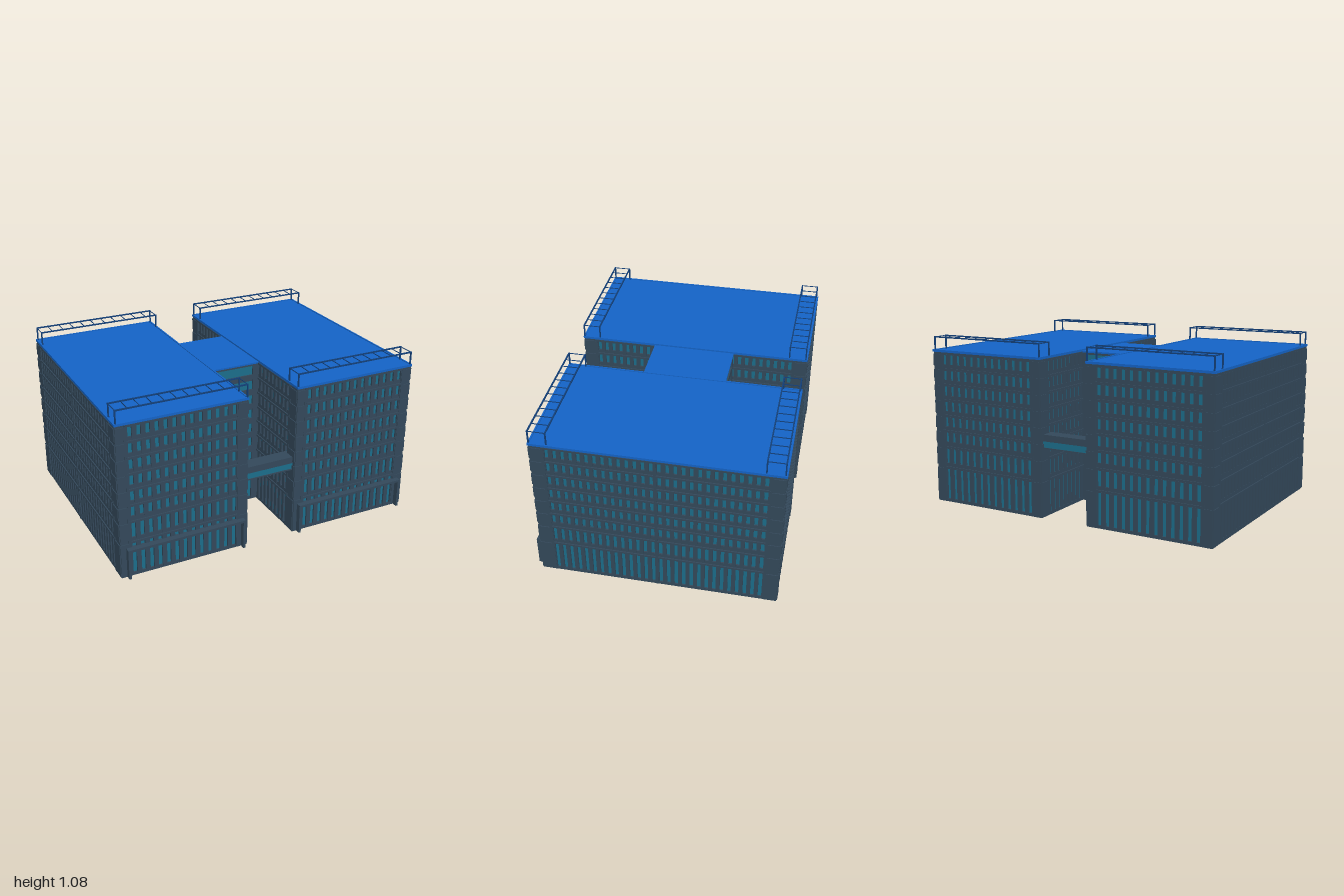
import * as THREE from 'three';
import { mergeGeometries } from 'three/addons/utils/BufferGeometryUtils.js';

const paint = (color) => new THREE.MeshStandardMaterial({ color });
const slate = paint(0x33485a);
const glass = paint(0x1b6d8a);
const blue = paint(0x1463c6);
const navy = paint(0x123f78);

// Window rows, bottom and top of each floor's glazing
const ROWS = [[0.02, 0.22], [0.26, 0.355]];
for (let i = 0; i < 6; i++) ROWS.push([0.402 + i * 0.101, 0.462 + i * 0.101]);
const TOP = 0.985;
const Z_MID = -0.015;

// Box given by its lower and upper bounds on each axis
function block(x0, x1, y0, y1, z0, z1) {
  return new THREE.BoxGeometry(x1 - x0, y1 - y0, z1 - z0)
    .translate((x0 + x1) / 2, (y0 + y1) / 2, (z0 + z1) / 2);
}

function part(name, material, ...boxes) {
  const mesh = new THREE.Mesh(mergeGeometries(boxes), material);
  mesh.name = name;
  return mesh;
}

// Solid wall strips between the window rows, on a plane facing +z
function spandrels(half) {
  const list = [];
  let y = 0;
  for (const [low, high] of [...ROWS, [TOP, TOP]]) {
    list.push(block(-half, half, y, low, -0.012, 0));
    y = high;
  }
  return list;
}

// Facade facing +z: corner piers, bays of mullions, spandrels and ledges
function facade(name, width, margin, bays, perBay) {
  const half = width / 2, inner = half - margin;
  const group = new THREE.Group();
  group.name = name;
  const walls = spandrels(half), mullions = [], ledges = [];
  for (const s of [-1, 1]) {
    const a = s * half, b = s * inner;
    walls.push(block(Math.min(a, b), Math.max(a, b), 0, TOP, -0.012, 0.001));
  }
  const bayWidth = 2 * inner / bays, pitch = bayWidth / perBay;
  for (let b = 0; b <= bays; b++) {
    const x = -inner + b * bayWidth;
    mullions.push(block(x - 0.008, x + 0.008, 0.005, TOP, -0.012, 0.006));
  }
  for (const [low, high] of ROWS) {
    for (let i = 0; i <= bays * perBay; i++) {
      const x = -inner + i * pitch;
      mullions.push(block(x - pitch * 0.26, x + pitch * 0.26, low - 0.012, high + 0.004, -0.012, 0.003));
    }
    ledges.push(block(-inner, inner, high + 0.006, high + 0.018, -0.005, 0.007));
    // Short proud blocks on the corner piers at each floor
    for (const s of [-1, 1]) {
      const x = s * (half - margin / 2);
      ledges.push(block(x - margin / 2, x + margin / 2, low - 0.012, high + 0.004, -0.005, 0.006));
    }
  }
  group.add(part('wall', slate, ...walls), part('mullions', slate, ...mullions), part('ledges', slate, ...ledges));
  return group;
}

// Railing frame around a strip at one end of the roof
function roofRail(z0, z1) {
  const t = 0.004, x0 = 0.17, x1 = 0.98, y = 1.08;
  const bars = [];
  for (const z of [z0, z1]) {
    bars.push(block(x0 - t, x1 + t, y - t, y + t, z - t, z + t));
    for (const x of [x0, x1]) bars.push(block(x - t, x + t, 0.99, y, z - t, z + t));
  }
  for (let i = 0; i <= 11; i++) {
    const x = x0 + (x1 - x0) * i / 11;
    bars.push(block(x - t / 2, x + t / 2, y - t / 2, y + t / 2, z0, z1));
  }
  return part('roofRail', navy, ...bars);
}

// One tower on the +x side
function tower() {
  const group = new THREE.Group();
  const x0 = 0.165, x1 = 0.988, z0 = -0.75, z1 = 0.72;
  group.add(part('glazing', glass, block(x0 + 0.009, x1 - 0.009, 0.006, TOP - 0.005, z0 + 0.009, z1 - 0.009)));
  group.add(part('base', slate, block(x0, x1, 0, 0.01, z0, z1)));

  // Broad sides have two bays, ends have one
  const place = (f, x, z, turn) => {
    f.position.set(x, 0, z);
    f.rotation.y = turn;
    group.add(f);
  };
  const depth = z1 - z0, width = x1 - x0, xm = (x0 + x1) / 2;
  place(facade('outerFacade', depth, 0.08, 2, 14), x1, Z_MID, Math.PI / 2);
  place(facade('courtFacade', depth, 0.08, 2, 14), x0, Z_MID, -Math.PI / 2);
  place(facade('frontFacade', width, 0.06, 1, 13), xm, z1, 0);
  place(facade('backFacade', width, 0.06, 1, 13), xm, z0, Math.PI);

  // Roof with a low rim
  const r = [0.162, 0.992, -0.757, 0.727];
  group.add(part('roof', blue, block(r[0], r[1], TOP, 0.995, r[2], r[3])));
  group.add(part('roofRim', blue,
    block(r[0], r[0] + 0.01, 0.99, 1, r[2], r[3]), block(r[1] - 0.01, r[1], 0.99, 1, r[2], r[3]),
    block(r[0], r[1], 0.99, 1, r[2], r[2] + 0.01), block(r[0], r[1], 0.99, 1, r[3] - 0.01, r[3])));
  group.add(roofRail(0.615, 0.72), roofRail(-0.745, -0.64));

  // Entrance canopy on two end posts
  group.add(part('entranceCanopy', slate,
    block(0.19, 0.955, 0.185, 0.2, 0.715, 0.76),
    block(0.19, 0.205, 0.005, 0.19, 0.725, 0.76),
    block(0.94, 0.955, 0.005, 0.19, 0.725, 0.76)));
  return group;
}

// Middle block joining the towers, with one wide window per floor
function linkBlock() {
  const group = new THREE.Group();
  group.name = 'linkBlock';
  const h = 0.17, z0 = -0.275, z1 = 0.238;
  group.add(part('linkGlazing', glass, block(-h, h, 0.006, TOP - 0.005, z0 + 0.009, z1 - 0.009)));
  group.add(part('linkBase', slate, block(-h, h, 0, 0.01, z0, z1)));
  group.add(part('linkRoof', blue, block(-h, h, TOP - 0.005, TOP + 0.005, z0 - 0.005, z1 + 0.005)));
  for (const [z, turn] of [[z1, 0], [z0, Math.PI]]) {
    const wall = part('linkWall', slate, ...spandrels(h),
      block(-h, -0.125, 0, TOP, -0.012, 0.001), block(0.125, h, 0, TOP, -0.012, 0.001));
    wall.position.z = z;
    wall.rotation.y = turn;
    group.add(wall);
  }
  return group;
}

// Covered footbridge between the towers
function footbridge(z0, z1) {
  const group = new THREE.Group();
  group.name = 'footbridge';
  group.add(part('bridgeGlazing', glass, block(-0.17, 0.17, 0.442, 0.49, z0 + 0.004, z1 - 0.004)));
  group.add(part('bridgeRoof', slate, block(-0.17, 0.17, 0.483, 0.525, z0, z1)));
  group.add(part('bridgeFloor', slate, block(-0.17, 0.17, 0.436, 0.444, z0, z1)));
  return group;
}

export function createModel() {
  const model = new THREE.Group();
  model.name = 'officeBuilding';
  const left = tower();
  left.name = 'leftTower';
  const right = tower();
  right.name = 'rightTower';
  right.scale.x = -1;
  model.add(left, right, linkBlock(), footbridge(0.61, 0.7), footbridge(-0.73, -0.64));
  return model;
}
